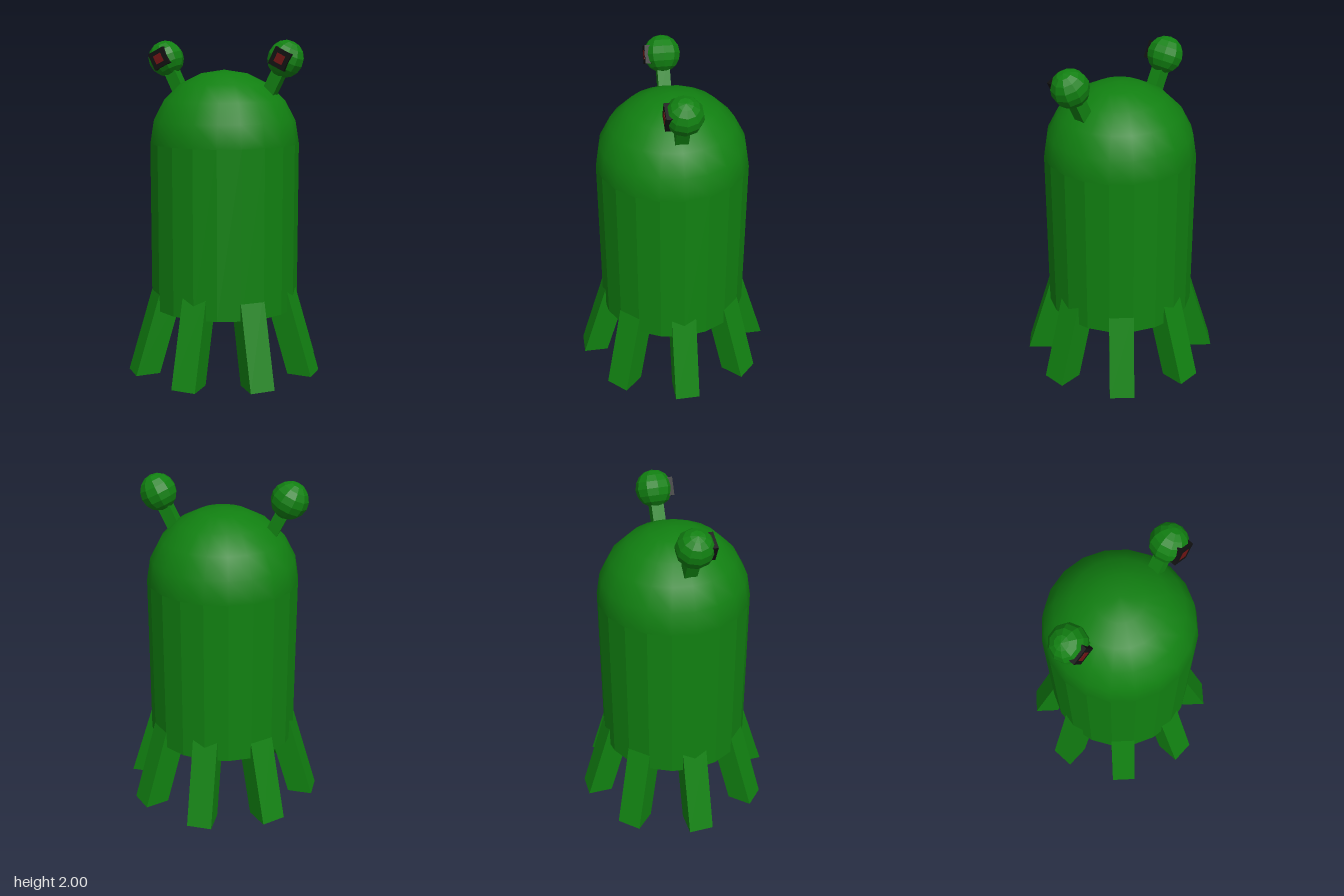
import * as THREE from 'three';

const paint = (color, flatShading = true) => new THREE.MeshStandardMaterial({ color, flatShading });
const green = paint(0x118011);
const smoothGreen = paint(0x118011, false);
const black = paint(0x111111);
const red = paint(0x701414);

function add(parent, name, geometry, material, x = 0, y = 0, z = 0) {
  const mesh = new THREE.Mesh(geometry, material);
  mesh.name = name;
  mesh.position.set(x, y, z);
  parent.add(mesh);
  return mesh;
}

// Square leg with level ends, leaning inwards as it rises
function legGeometry() {
  const height = 0.54, lean = 0.31;
  const geo = new THREE.BoxGeometry(0.15, height, 0.15).translate(0, height / 2, 0.525);
  const p = geo.attributes.position;
  for (let i = 0; i < p.count; i++) p.setZ(i, p.getZ(i) - lean * p.getY(i));
  geo.computeVertexNormals();
  return geo;
}

// Eyestalk built upright around the eyeball centre, then tilted outwards
function makeEye(side) {
  const eye = new THREE.Group();
  eye.name = side > 0 ? 'leftEye' : 'rightEye';
  add(eye, 'stalk', new THREE.BoxGeometry(0.075, 0.28, 0.075), green, 0, -0.14, 0);
  add(eye, 'eyeball', new THREE.SphereGeometry(0.11, 10, 8), green);
  add(eye, 'iris', new THREE.BoxGeometry(0.107, 0.107, 0.06), black, 0, 0, 0.076);
  add(eye, 'pupil', new THREE.BoxGeometry(0.054, 0.054, 0.04), red, 0, 0, 0.088);
  eye.position.set(side * 0.39, 1.89, 0);
  eye.rotation.z = -side * 0.46;
  return eye;
}

export function createModel() {
  const model = new THREE.Group();
  model.name = 'alien';

  // Faceted trunk and smooth domed head
  add(model, 'body', new THREE.CylinderGeometry(0.454, 0.454, 1, 20), green, 0, 0.887, 0);
  const dome = new THREE.SphereGeometry(0.454, 20, 5, 0, Math.PI * 2, 0, Math.PI / 2);
  add(model, 'head', dome, smoothGreen, 0, 1.387, 0).scale.y = 0.965;

  // Ring of eight legs
  const leg = legGeometry();
  for (let i = 0; i < 8; i++) add(model, 'leg', leg, green).rotation.y = (i * Math.PI) / 4;

  for (const side of [1, -1]) model.add(makeEye(side));
  return model;
}
